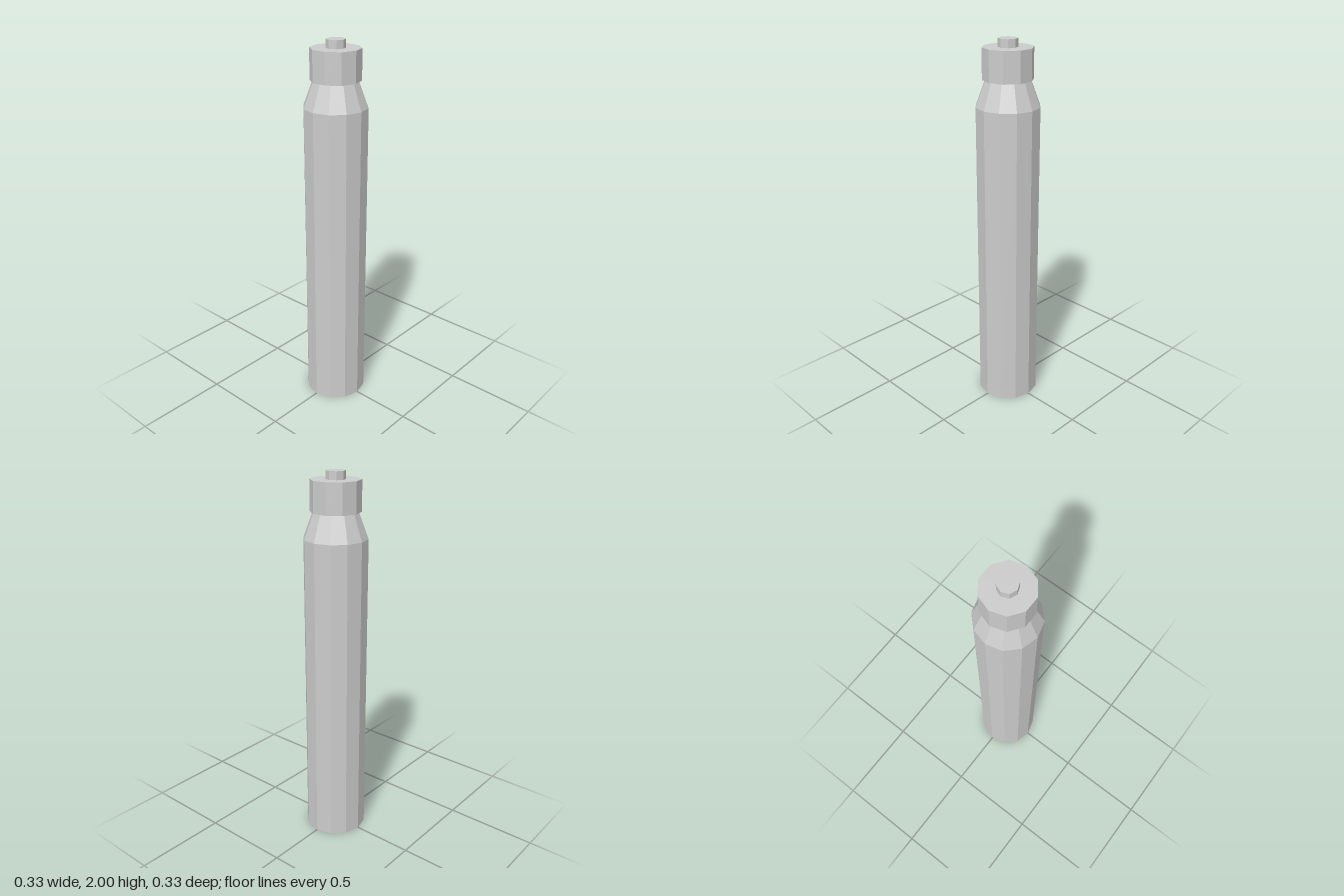
import * as THREE from 'three';

export function createModel() {
  const model = new THREE.Group();
  model.name = 'bottle';
  const material = new THREE.MeshStandardMaterial({ color: 0xcccccc, flatShading: true });

  // One faceted section standing between two heights
  function section(name, rTop, rBottom, y0, y1, sides) {
    const geometry = new THREE.CylinderGeometry(rTop, rBottom, y1 - y0, sides);
    geometry.translate(0, (y0 + y1) / 2, 0);
    const mesh = new THREE.Mesh(geometry, material);
    mesh.name = name;
    model.add(mesh);
  }

  section('body', 0.167, 0.167, 0, 1.667, 12);
  section('shoulder', 0.117, 0.167, 1.667, 1.8, 12);
  section('cap', 0.13, 0.13, 1.8, 1.958, 10);
  section('nozzle', 0.05, 0.05, 1.958, 2, 8);

  return model;
}
